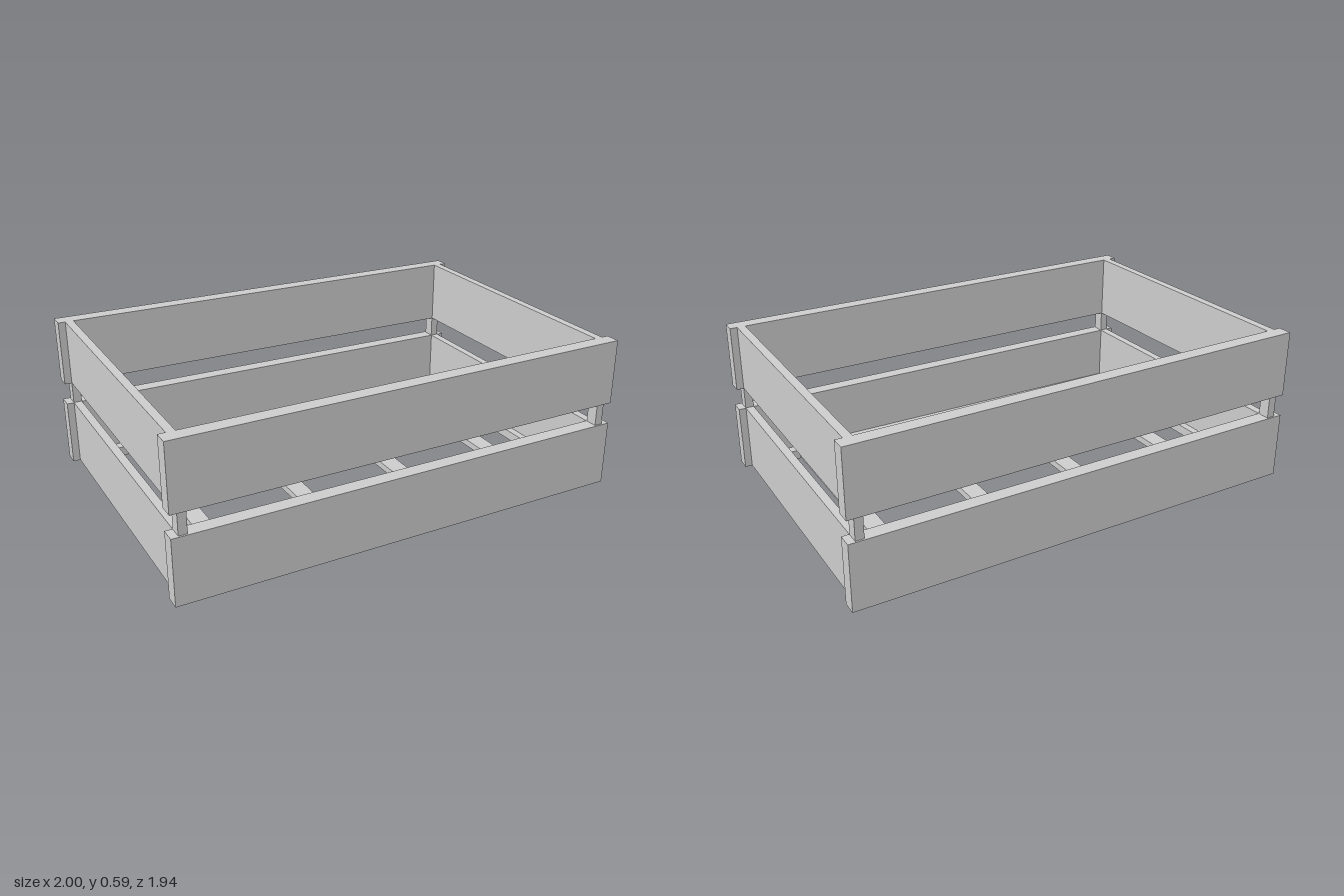
import * as THREE from 'three';

const material = new THREE.MeshStandardMaterial({ color: 0xcccccc, flatShading: true });
const HX = 0.84, HZ = 0.5575;      // half length and half width of the crate
const INNER_X = 0.784, END_X = 0.814, INNER_Z = 0.505;
const rows = [[0, 0.24], [0.32, 0.56]]; // lower and upper board heights

// Slight lean and twist shared by every board
function warp(geometry) {
  const p = geometry.attributes.position;
  for (let i = 0; i < p.count; i++) {
    const a = p.getX(i) / HX, b = p.getZ(i) / HZ;
    p.setY(i, p.getY(i) + 0.015 - 0.010 * a + 0.004 * a * b);
  }
  geometry.computeVertexNormals();
  return geometry;
}

// Box given by its limits on each axis
function board(name, [x0, x1], [y0, y1], [z0, z1]) {
  const g = new THREE.BoxGeometry(x1 - x0, y1 - y0, z1 - z0);
  g.translate((x0 + x1) / 2, (y0 + y1) / 2, (z0 + z1) / 2);
  const mesh = new THREE.Mesh(warp(g), material);
  mesh.name = name;
  return mesh;
}

// Limits of a span on the positive or negative side
const side = (s, a, b) => (s > 0 ? [a, b] : [-b, -a]);

export function createModel() {
  const model = new THREE.Group();
  model.name = 'slattedCrate';
  const crate = new THREE.Group();
  crate.name = 'crate';
  crate.rotation.y = 0.718;
  model.add(crate);

  for (const s of [-1, 1]) {
    // Long side boards run past the inset end boards
    for (const y of rows) {
      crate.add(board('longSideBoard', [-HX, HX], y, side(s, INNER_Z, HZ)));
      crate.add(board('endBoard', side(s, INNER_X, END_X), y, [-INNER_Z, INNER_Z]));
    }
    // Corner posts bridging the gap between the rows
    for (const t of [-1, 1]) {
      crate.add(board('cornerPost', side(s, INNER_X, END_X), [0.22, 0.34], side(t, 0.507, 0.551)));
    }
    // Floor rails around the inside bottom edge
    crate.add(board('floorRail', [-INNER_X, INNER_X], [0, 0.035], side(s, 0.468, INNER_Z)));
    crate.add(board('endFloorRail', side(s, 0.756, INNER_X), [0, 0.035], [-0.468, 0.468]));
  }

  // Floor slats
  for (const x of [-0.6, -0.2, 0.2, 0.6]) {
    crate.add(board('floorSlat', [x - 0.033, x + 0.033], [0.005, 0.03], [-0.47, 0.47]));
  }
  return model;
}
